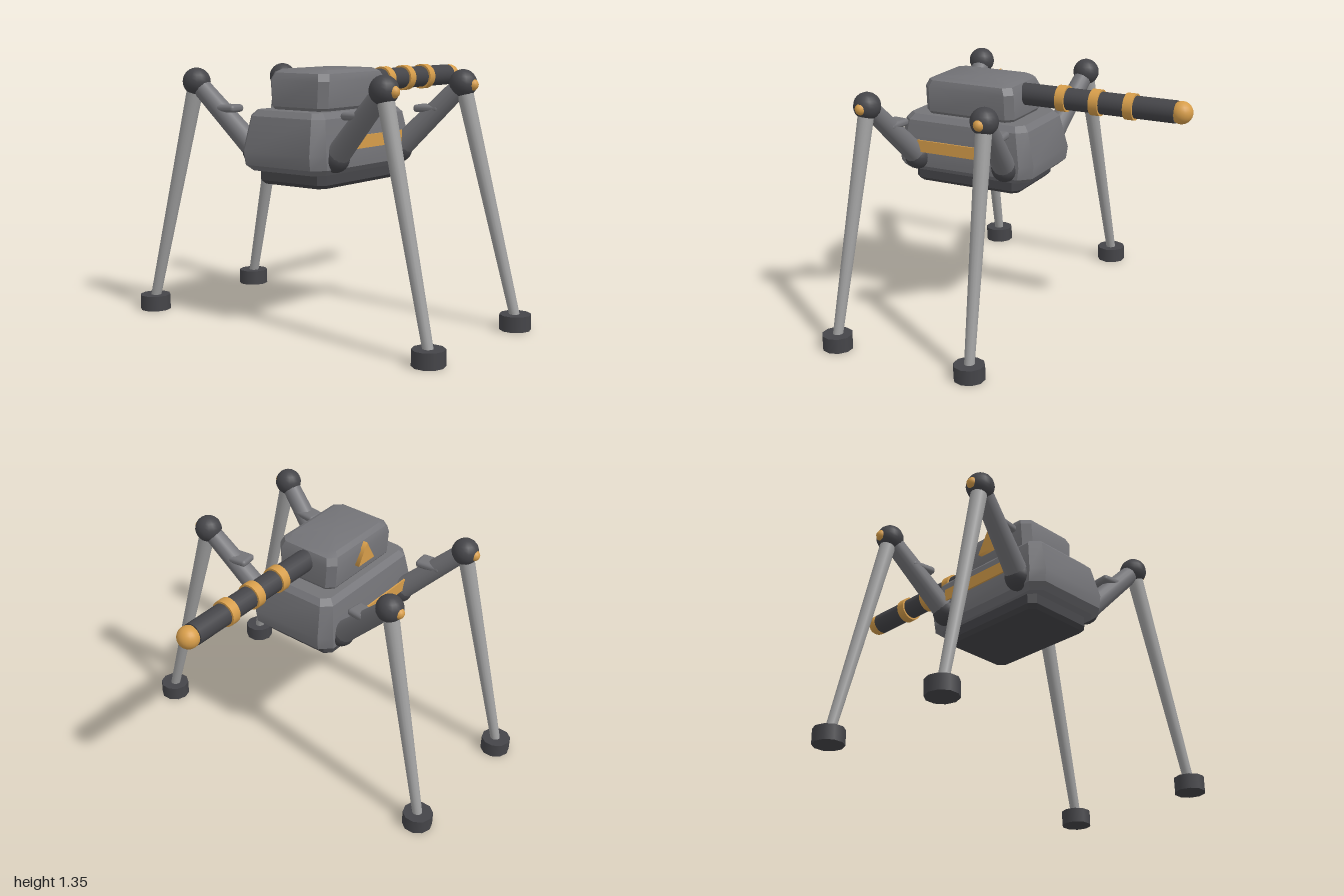
import * as THREE from 'three';
import { toCreasedNormals } from 'three/addons/utils/BufferGeometryUtils.js';
import { RoundedBoxGeometry } from 'three/addons/geometries/RoundedBoxGeometry.js';

const CX = -0.37; // centre line of the walker's hull

// Closed hull through chamfered rectangles: each section is [y, halfX, halfZ, cornerCut]
function chamferedLoft(sections) {
  const rings = sections.map(([y, hx, hz, c]) => [
    [hx, -hz + c], [hx, hz - c], [hx - c, hz], [-hx + c, hz],
    [-hx, hz - c], [-hx, -hz + c], [-hx + c, -hz], [hx - c, -hz],
  ].map(([x, z]) => [x, y, z]));
  const pos = [];
  const tri = (...pts) => pts.forEach((p) => pos.push(...p));
  const last = rings.length - 1;
  const bottom = [0, sections[0][0], 0];
  const top = [0, sections[last][0], 0];
  for (let i = 0; i < 8; i++) {
    const j = (i + 1) % 8;
    for (let k = 0; k < last; k++) {
      const a = rings[k], b = rings[k + 1];
      tri(a[i], b[i], a[j]);
      tri(a[j], b[i], b[j]);
    }
    tri(bottom, rings[0][i], rings[0][j]);
    tri(top, rings[last][j], rings[last][i]);
  }
  const geo = new THREE.BufferGeometry();
  geo.setAttribute('position', new THREE.Float32BufferAttribute(pos, 3));
  return toCreasedNormals(geo, 0.5);
}

export function createModel() {
  const model = new THREE.Group();
  model.name = 'walker';
  const mat = (name, color) => {
    const m = new THREE.MeshStandardMaterial({ color });
    m.name = name;
    return m;
  };
  const grey = mat('hullGrey', 0x747478);
  const dark = mat('darkGrey', 0x454549);
  const light = mat('lightGrey', 0xa0a0a0);
  const orange = mat('orange', 0xd69d4a);

  const add = (name, geo, material, x = 0, y = 0, z = 0, parent = model) => {
    const mesh = new THREE.Mesh(geo, material);
    mesh.name = name;
    mesh.position.set(x, y, z);
    parent.add(mesh);
    return mesh;
  };
  // Tapered rod between two points
  const rod = (name, a, b, ra, rb, material, parent) => {
    const dir = b.clone().sub(a);
    const mid = a.clone().lerp(b, 0.5);
    const mesh = add(name, new THREE.CylinderGeometry(rb, ra, dir.length(), 16), material, mid.x, mid.y, mid.z, parent);
    mesh.quaternion.setFromUnitVectors(new THREE.Vector3(0, 1, 0), dir.normalize());
    return mesh;
  };

  // Hull, belly and turret
  add('body', chamferedLoft([
    [0.83, 0.375, 0.24, 0.05], [0.86, 0.41, 0.272, 0.06], [0.93, 0.42, 0.275, 0.06],
    [1.11, 0.378, 0.245, 0.05], [1.14, 0.35, 0.215, 0.04],
  ]), grey, CX);
  add('belly', chamferedLoft([
    [0.755, 0.305, 0.2, 0.03], [0.775, 0.325, 0.22, 0.035], [0.85, 0.325, 0.22, 0.035],
  ]), dark, CX);
  add('turret', chamferedLoft([
    [1.12, 0.25, 0.16, 0.03], [1.155, 0.272, 0.186, 0.04], [1.29, 0.272, 0.194, 0.04],
    [1.328, 0.255, 0.18, 0.04], [1.345, 0.22, 0.15, 0.03],
  ]), grey, CX);

  // Side stripes
  for (const s of [1, -1]) {
    add('stripe', new THREE.BoxGeometry(0.47, 0.066, 0.009), orange, CX - 0.005, 0.988, s * 0.31);
  }

  // Triangular badge on the back of the turret
  const badge = add('badge', new THREE.CylinderGeometry(0.08, 0.08, 0.026, 3), orange, CX, 1.255, -0.203);
  badge.rotation.x = -Math.PI / 2;

  // Barrel with rings and round tip
  const barrelPart = (name, r, x0, x1, material) => {
    const geo = new THREE.CylinderGeometry(r, r, x1 - x0, 24).rotateZ(Math.PI / 2);
    add(name, geo, material, (x0 + x1) / 2, 1.265, 0);
  };
  barrelPart('barrel', 0.06, -0.13, 0.765, dark);
  for (const x of [0.125, 0.32, 0.515]) barrelPart('barrelRing', 0.071, x - 0.026, x + 0.026, orange);
  add('barrelTip', new THREE.SphereGeometry(0.06, 20, 14), orange, 0.792, 1.265, 0);

  // Four legs, mirrored over both axes
  for (const sx of [1, -1]) {
    for (const sz of [1, -1]) {
      const leg = new THREE.Group();
      leg.name = (sz > 0 ? 'front' : 'back') + (sx > 0 ? 'Left' : 'Right') + 'Leg';
      model.add(leg);
      const at = (x, y, z) => new THREE.Vector3(CX + sx * x, y, sz * z);
      const hip = at(0.272, 0.915, 0.263);
      const knee = at(0.348, 1.27, 0.615);
      const foot = at(0.404, 0.06, 0.915);
      add('hip', new THREE.SphereGeometry(0.073, 16, 12), dark, ...hip, leg);
      rod('upperLeg', hip, knee, 0.062, 0.05, grey, leg);
      add('knee', new THREE.SphereGeometry(0.074, 16, 12), dark, ...knee, leg);
      add('kneeCap', new THREE.SphereGeometry(0.031, 12, 10), orange, ...at(0.35, 1.265, 0.672), leg);
      rod('lowerLeg', knee, foot, 0.044, 0.027, light, leg);
      add('foot', new THREE.CylinderGeometry(0.083, 0.083, 0.082, 10), dark, foot.x, 0.041, foot.z, leg);
      const guard = add('legGuard', new RoundedBoxGeometry(0.105, 0.04, 0.15, 3, 0.018), grey, ...at(0.311, 1.135, 0.432), leg);
      guard.rotation.y = sx * sz * 0.12;
    }
  }
  return model;
}
